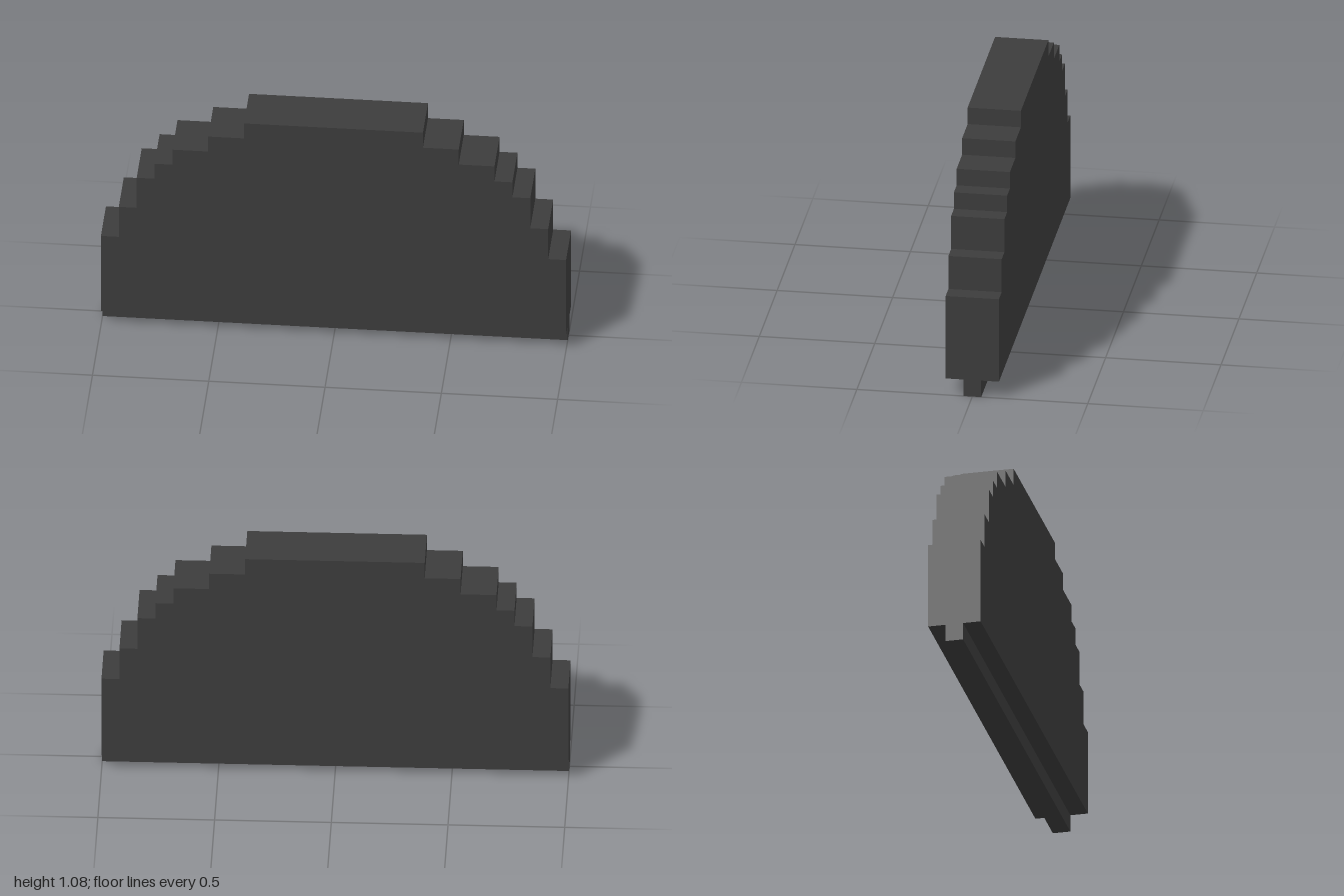
import * as THREE from 'three';

const U = 1 / 13; // one grid step of the blocky design

export function createModel() {
  const group = new THREE.Group();
  const charcoal = new THREE.MeshStandardMaterial({ color: 0x3c3c3c });
  charcoal.name = 'charcoal';

  // Right half of the stepped arch: [half width, top height] in grid steps
  const steps = [[13, 6], [12, 8], [11, 10], [10, 11], [9, 12], [7, 13], [5, 14]];
  const half = [];
  let y = 1;
  for (const [x, top] of steps) {
    half.push([x, y], [x, top]);
    y = top;
  }
  const mirrored = half.map(([x, h]) => [-x, h]).reverse();
  const outline = [...half, ...mirrored].map(([x, h]) => new THREE.Vector2(x * U, h * U));

  // Stepped slab
  const slabGeometry = new THREE.ExtrudeGeometry(new THREE.Shape(outline), {
    depth: 3 * U,
    bevelEnabled: false,
  });
  slabGeometry.translate(0, 0, -1.5 * U);
  const slab = new THREE.Mesh(slabGeometry, charcoal);
  slab.name = 'steppedSlab';

  // Narrow tongue running along the underside
  const tongue = new THREE.Mesh(new THREE.BoxGeometry(26 * U, U, U), charcoal);
  tongue.name = 'bottomTongue';
  tongue.position.y = U / 2;

  group.add(slab, tongue);
  return group;
}
